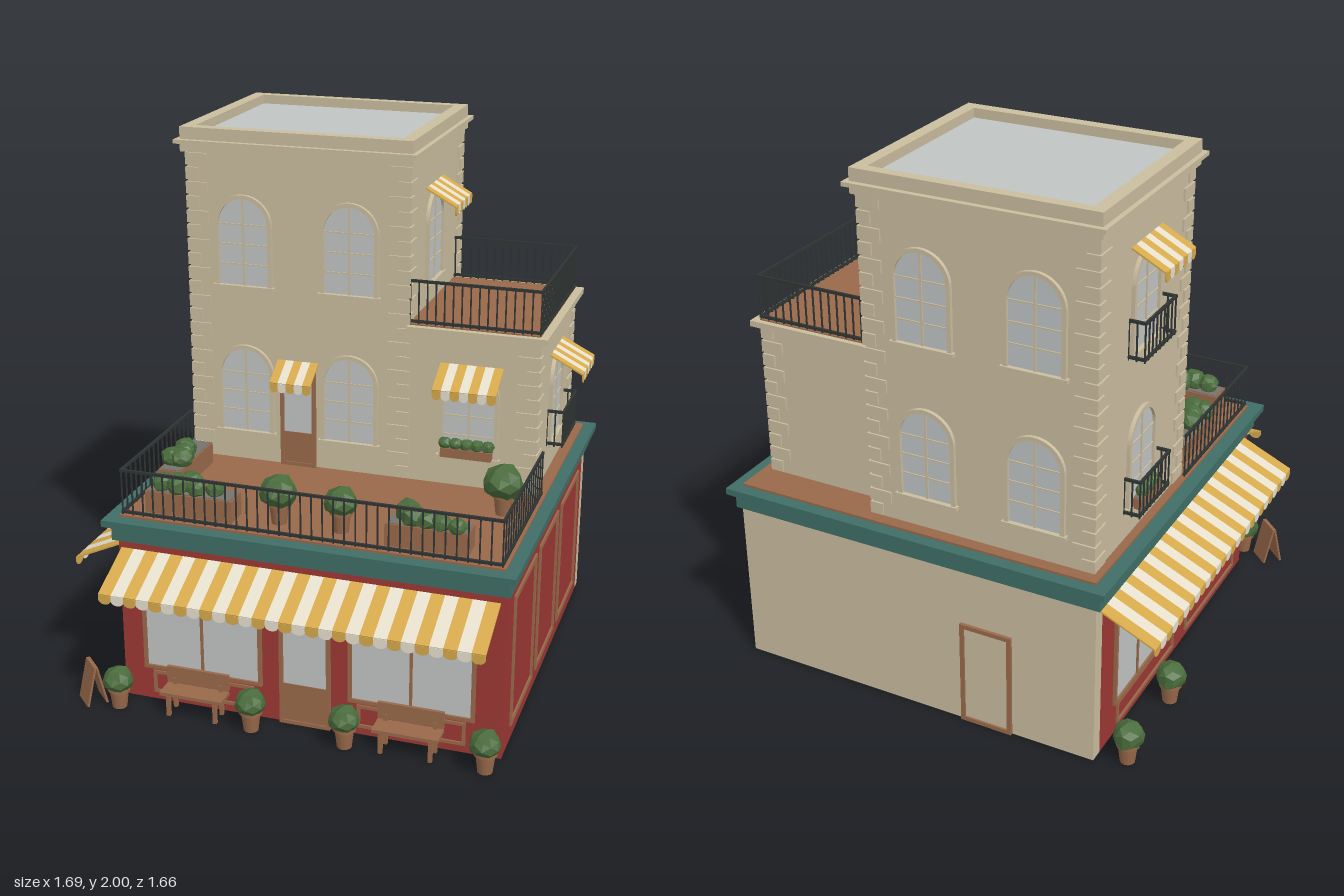
import * as THREE from 'three';
import { mergeGeometries } from 'three/addons/utils/BufferGeometryUtils.js';

const mat = (name, color) => Object.assign(new THREE.MeshStandardMaterial({ color }), { name });

export function createModel() {
  const M = {
    stone: mat('stone', 0xcabd9f), red: mat('red paint', 0x9c3733), teal: mat('teal cornice', 0x3f6e66),
    wood: mat('wood', 0x98694a), glass: mat('glass', 0xc0c4c3), iron: mat('iron', 0x2f3433),
    gold: mat('awning gold', 0xd6a94c), cream: mat('awning cream', 0xe6dfcd),
    leaf: mat('leaf', 0x4a6c3c), soil: mat('soil', 0x77726c),
  };
  M.gold.side = M.cream.side = THREE.DoubleSide;
  const root = new THREE.Group();
  root.name = 'cornerShop';

  // ---- helpers ----
  const add = (p, name, geo, m, x = 0, y = 0, z = 0) => {
    const o = new THREE.Mesh(geo, m);
    o.name = name;
    o.position.set(x, y, z);
    p.add(o);
    return o;
  };
  // box given by its min and max corners
  const span = (x0, x1, y0, y1, z0, z1) => new THREE.BoxGeometry(x1 - x0, y1 - y0, z1 - z0)
    .translate((x0 + x1) / 2, (y0 + y1) / 2, (z0 + z1) / 2);
  const block = (p, name, m, ...s) => add(p, name, span(...s), m);
  const group = (name, x = 0, y = 0, z = 0, turn = 0, p = root) => {
    const g = new THREE.Group();
    g.name = name;
    g.position.set(x, y, z);
    g.rotation.y = turn;
    p.add(g);
    return g;
  };
  const FRONT = 0, RIGHT = Math.PI / 2, LEFT = -Math.PI / 2, BACK = Math.PI;
  const rect = (S, x0, x1, y0, y1) => {
    const s = new S();
    s.moveTo(x0, y0).lineTo(x1, y0).lineTo(x1, y1).lineTo(x0, y1).closePath();
    return s;
  };
  const extrude = (shape, depth) => new THREE.ExtrudeGeometry(shape, { depth, bevelEnabled: false, curveSegments: 12 });
  const ring = (x0, x1, y0, y1, t, depth) => {
    const s = rect(THREE.Shape, x0, x1, y0, y1);
    s.holes.push(rect(THREE.Path, x0 + t, x1 - t, y0 + t, y1 - t));
    return extrude(s, depth);
  };
  const arch = (S, r, y0, spring) => {
    const s = new S();
    s.moveTo(-r, y0).lineTo(r, y0).lineTo(r, spring).absarc(0, spring, r, 0, Math.PI, false).closePath();
    return s;
  };

  // ---- ground floor: hollow walls, timber lining, cornice, deck ----
  const shop = group('groundFloor');
  block(shop, 'frontWall', M.red, -0.65, 0.77, 0, 0.63, 0.58, 0.63);
  block(shop, 'leftPaintedWall', M.red, 0.72, 0.77, 0, 0.63, -0.74, 0.58);
  block(shop, 'rightPaintedWall', M.red, -0.65, -0.6, 0, 0.63, -0.74, 0.58);
  block(shop, 'backWall', M.stone, -0.65, 0.77, 0, 0.63, -0.79, -0.74);
  const lining = [[-0.6, 0.72, 0.574, 0.58], [-0.6, 0.72, -0.74, -0.734], [-0.6, -0.594, -0.734, 0.574], [0.714, 0.72, -0.734, 0.574]];
  for (const [x0, x1, z0, z1] of lining) block(shop, 'innerLining', M.wood, x0, x1, 0.002, 0.63, z0, z1);
  block(shop, 'lowerCornice', M.teal, -0.67, 0.785, 0.63, 0.69, -0.805, 0.645);
  block(shop, 'upperCornice', M.teal, -0.695, 0.807, 0.69, 0.715, -0.83, 0.675);
  block(shop, 'terraceDeck', M.wood, -0.645, 0.762, 0.715, 0.724, -0.785, 0.625);

  // panels on the painted side wall
  for (const [a, b] of [[-0.66, -0.305], [-0.245, 0.095], [0.155, 0.51]]) {
    const g = group('sidePanel', 0.77, 0, 0, RIGHT);
    add(g, 'panelMoulding', ring(-b, -a, 0.06, 0.57, 0.02, 0.007), M.wood);
  }
  // shop windows with a moulded panel below
  const shopWindow = (x, z, turn, w, bars) => {
    const g = group('shopWindow', x, 0, z, turn), h = w / 2;
    block(g, 'shopGlass', M.glass, -h, h, 0.14, 0.56, 0, 0.004);
    add(g, 'windowFrame', ring(-h - 0.012, h + 0.012, 0.13, 0.57, 0.014, 0.012), M.wood);
    for (let i = 1; i <= bars; i++) {
      const u = -h + (w * i) / (bars + 1);
      block(g, 'mullion', M.wood, u - 0.005, u + 0.005, 0.14, 0.56, 0, 0.01);
    }
    add(g, 'lowerPanel', ring(-h + 0.02, h - 0.02, 0.03, 0.12, 0.012, 0.007), M.wood);
  };
  shopWindow(-0.337, 0.63, FRONT, 0.435, 1);
  shopWindow(0.445, 0.63, FRONT, 0.435, 1);
  shopWindow(-0.65, -0.35, LEFT, 0.55, 2);
  shopWindow(-0.65, 0.28, LEFT, 0.55, 2);

  // part-glazed doors and the plain back door
  const door = (x, y, z, w, h, kick) => {
    const g = group('glazedDoor', x, y, z), r = w / 2;
    add(g, 'doorFrame', ring(-r, r, 0, h, 0.014, 0.014), M.wood);
    block(g, 'doorGlass', M.glass, -r + 0.012, r - 0.012, kick, h - 0.012, 0, 0.005);
    block(g, 'kickPanel', M.wood, -r + 0.012, r - 0.012, 0, kick, 0, 0.008);
  };
  door(0.055, 0, 0.63, 0.19, 0.57, 0.16);
  door(-0.192, 0.724, -0.01, 0.14, 0.38, 0.135);
  const rear = group('backDoor', -0.235, 0, -0.79, BACK);
  add(rear, 'backDoorFrame', ring(-0.1, 0.1, 0.0, 0.41, 0.016, 0.012), M.wood);
  block(rear, 'backDoorLeaf', M.stone, -0.085, 0.085, 0.015, 0.395, 0, 0.005);

  // ---- tower and wing ----
  block(root, 'tower', M.stone, -0.615, 0.235, 0.72, 1.94, -0.74, -0.01);
  block(root, 'wing', M.stone, 0.235, 0.72, 0.72, 1.31, -0.65, -0.01);
  block(root, 'towerLowerCornice', M.stone, -0.635, 0.25, 1.91, 1.94, -0.765, 0.01);
  block(root, 'towerCornice', M.stone, -0.655, 0.265, 1.94, 1.955, -0.79, 0.025);
  const parapet = rect(THREE.Shape, -0.637, 0.247, -0.005, 0.77);
  parapet.holes.push(rect(THREE.Path, -0.59, 0.2, 0.04, 0.73));
  add(root, 'parapet', extrude(parapet, 0.045).rotateX(-Math.PI / 2), M.stone, 0, 1.955, 0);
  block(root, 'flatRoof', M.glass, -0.6, 0.21, 1.955, 1.965, -0.74, -0.03);
  block(root, 'wingCornice', M.stone, 0.235, 0.752, 1.308, 1.33, -0.68, 0.02);
  block(root, 'wingDeck', M.wood, 0.235, 0.722, 1.33, 1.334, -0.66, -0.005);

  // corner stones, long side alternating; sx and sz point out of the corner
  const quoins = (x, z, sx, sz, y0, y1) => {
    const parts = [], n = Math.round((y1 - y0) / 0.055), p = (y1 - y0) / n;
    for (let i = 0; i < n; i++) {
      const a = i % 2 ? 0.085 : 0.05, b = i % 2 ? 0.05 : 0.085, e = 0.007;
      parts.push(new THREE.BoxGeometry(a, p - 0.009, b)
        .translate(x + sx * (e - a / 2), y0 + p * (i + 0.5), z + sz * (e - b / 2)));
    }
    add(root, 'cornerStones', mergeGeometries(parts), M.stone);
  };
  for (const [x, sx] of [[-0.615, -1], [0.235, 1]])
    for (const [z, sz] of [[-0.74, -1], [-0.01, 1]]) quoins(x, z, sx, sz, 0.724, 1.91);
  quoins(0.72, -0.01, 1, 1, 0.724, 1.308);
  quoins(0.72, -0.65, 1, -1, 0.724, 1.308);

  // arched windows
  const archWindow = (x, y, z, turn) => {
    const g = group('archedWindow', x, y, z, turn);
    const trim = arch(THREE.Shape, 0.112, -0.01, 0.23);
    trim.holes.push(arch(THREE.Path, 0.096, 0, 0.23));
    add(g, 'archTrim', extrude(trim, 0.014), M.stone);
    add(g, 'archGlass', new THREE.ShapeGeometry(arch(THREE.Shape, 0.1, 0, 0.23)), M.glass, 0, 0, 0.003);
    block(g, 'sill', M.stone, -0.12, 0.12, -0.014, 0, 0, 0.02);
    block(g, 'centreBar', M.stone, -0.004, 0.004, 0, 0.326, 0, 0.008);
    for (const v of [0.08, 0.155, 0.23]) block(g, 'crossBar', M.stone, -0.096, 0.096, v - 0.003, v + 0.003, 0, 0.007);
  };
  for (const y of [0.845, 1.42]) {
    for (const x of [-0.4, 0.01]) {
      archWindow(x, y, -0.01, FRONT);
      archWindow(x, y, -0.74, BACK);
    }
    archWindow(-0.615, y, -0.385, LEFT);
  }
  archWindow(0.235, 1.42, -0.333, RIGHT);
  archWindow(0.72, 0.845, -0.333, RIGHT);
  archWindow(0.47, 0.845, -0.01, FRONT);

  // ---- striped awnings with a scalloped valance; origin at the wall ----
  const awning = (x, y, z, turn, w, out, drop, val, n) => {
    const g = group('awning', x, y, z, turn), s = w / n, parts = [[], []];
    const len = Math.hypot(out, drop), pitch = Math.atan2(drop, out);
    for (let i = 0; i < n; i++) {
      const u = -w / 2 + s * (i + 0.5), flap = new THREE.Shape();
      flap.moveTo(-s / 2, 0).lineTo(-s / 2, -val * 0.5)
        .quadraticCurveTo(0, -val * 1.5, s / 2, -val * 0.5).lineTo(s / 2, 0).closePath();
      parts[i % 2].push(
        new THREE.BoxGeometry(s, 0.006, len).translate(0, 0, len / 2).rotateX(pitch).translate(u, 0, 0),
        new THREE.ExtrudeGeometry(flap, { depth: 0.004, bevelEnabled: false, curveSegments: 4 })
          .toNonIndexed?.() && new THREE.BoxGeometry(s, val * 0.5, 0.004).translate(u, -drop - val * 0.25, out),
        new THREE.CylinderGeometry(s / 2, s / 2, 0.004, 10, 1, false, -Math.PI / 2, Math.PI)
          .rotateX(Math.PI / 2).scale(1, val / s, 1).translate(u, -drop - val * 0.5, out));
    }
    add(g, 'goldStripes', mergeGeometries(parts[0]), M.gold);
    add(g, 'creamStripes', mergeGeometries(parts[1]), M.cream);
  };
  awning(0.055, 0.597, 0.63, FRONT, 1.39, 0.2, 0.09, 0.035, 29);
  awning(-0.65, 0.597, -0.085, LEFT, 1.345, 0.198, 0.09, 0.035, 27);
  awning(-0.192, 1.14, -0.01, FRONT, 0.16, 0.095, 0.06, 0.035, 5);
  awning(0.475, 1.195, -0.01, FRONT, 0.235, 0.118, 0.065, 0.035, 7);
  awning(0.72, 1.195, -0.335, RIGHT, 0.24, 0.122, 0.062, 0.035, 7);
  awning(0.235, 1.785, -0.335, RIGHT, 0.24, 0.113, 0.062, 0.035, 7);
  awning(-0.615, 1.79, -0.385, LEFT, 0.245, 0.118, 0.062, 0.035, 7);

  // ---- iron railings along a path of [x, z] points ----
  const railing = (name, path, y, h, step) => {
    const parts = [];
    for (let i = 1; i < path.length; i++) {
      const [ax, az] = path[i - 1], [bx, bz] = path[i];
      const dx = bx - ax, dz = bz - az, len = Math.hypot(dx, dz), n = Math.round(len / step);
      for (const v of [0.012, h - 0.005])
        parts.push(new THREE.BoxGeometry(len + 0.008, 0.01, 0.009).rotateY(Math.atan2(-dz, dx))
          .translate((ax + bx) / 2, y + v, (az + bz) / 2));
      for (let k = 0; k <= n; k++)
        parts.push(new THREE.BoxGeometry(0.005, h, 0.005).translate(ax + (dx * k) / n, y + h / 2, az + (dz * k) / n));
    }
    add(root, name, mergeGeometries(parts), M.iron);
  };
  railing('terraceRailing', [[-0.635, -0.01], [-0.635, 0.615], [0.748, 0.615], [0.748, -0.01]], 0.722, 0.175, 0.04);
  railing('wingRailing', [[0.24, -0.01], [0.72, -0.01], [0.72, -0.655], [0.24, -0.655]], 1.332, 0.168, 0.032);
  railing('balconyRailing', [[0.72, -0.21], [0.78, -0.21], [0.78, -0.455], [0.72, -0.455]], 0.84, 0.145, 0.03);
  for (const y of [0.825, 1.405])
    railing('balconyRailing', [[-0.615, -0.262], [-0.673, -0.262], [-0.673, -0.508], [-0.615, -0.508]], y, 0.145, 0.03);

  // ---- plants: faceted bushes, pots and troughs ----
  const bush = (p, x, y, z, r, squash = 0.9) => {
    const geo = new THREE.IcosahedronGeometry(r, 1), a = geo.attributes.position, v = new THREE.Vector3();
    for (let i = 0; i < a.count; i++) {
      v.fromBufferAttribute(a, i);
      const k = 1 + 0.1 * Math.sin(Math.round(v.x / r * 50) * 1.7 + Math.round(v.y / r * 50) * 2.3 + Math.round(v.z / r * 50) * 0.9 + x * 9);
      a.setXYZ(i, v.x * k, v.y * k * squash, v.z * k);
    }
    geo.computeVertexNormals();
    add(p, 'bush', geo, M.leaf, x, y, z).rotation.y = x * 7 + z * 5;
  };
  const pot = (x, y, z, r) => {
    const g = group('pottedBush', x, y, z);
    add(g, 'pot', new THREE.CylinderGeometry(0.036, 0.027, 0.075, 12), M.wood, 0, 0.0375, 0);
    add(g, 'potRim', new THREE.CylinderGeometry(0.042, 0.042, 0.014, 12), M.wood, 0, 0.075, 0);
    bush(g, 0, 0.06 + r * 0.85, 0, r);
  };
  for (const [x, z] of [[-0.635, 0.72], [-0.12, 0.72], [0.23, 0.72], [0.735, 0.72], [-0.755, -0.735], [-0.755, -0.36]]) pot(x, 0, z, 0.056);
  pot(-0.08, 0.724, 0.51, 0.068);
  pot(0.15, 0.724, 0.51, 0.06);
  pot(0.65, 0.724, 0.19, 0.072);

  const trough = (x0, x1, y0, y1, z0, z1, bushes) => {
    const g = group('planter');
    block(g, 'trough', M.wood, x0, x1, y0, y1, z0, z1);
    block(g, 'soil', M.soil, x0 + 0.006, x1 - 0.006, y1 - 0.005, y1 + 0.003, z0 + 0.006, z1 - 0.006);
    for (const [x, z, r] of bushes) bush(g, x, y1 + r * 0.6, z, r);
  };
  trough(-0.565, -0.235, 0.724, 0.806, 0.48, 0.575,
    [[-0.51, 0.535, 0.04], [-0.45, 0.54, 0.045], [-0.41, 0.51, 0.045], [-0.38, 0.545, 0.035], [-0.315, 0.53, 0.034]]);
  trough(0.325, 0.62, 0.724, 0.806, 0.48, 0.575,
    [[0.39, 0.505, 0.046], [0.42, 0.54, 0.044], [0.47, 0.55, 0.038], [0.52, 0.555, 0.036], [0.58, 0.565, 0.034]]);
  trough(-0.602, -0.515, 0.724, 0.806, 0.07, 0.38,
    [[-0.565, 0.21, 0.042], [-0.55, 0.26, 0.042], [-0.575, 0.31, 0.042], [-0.54, 0.31, 0.045]]);
  const sillBushes = [0, 1, 2, 3, 4].map((i) => [0.39 + i * 0.04, 0.022, 0.025]);
  trough(0.375, 0.565, 0.85, 0.885, 0.005, 0.042, sillBushes);
  trough(-0.665, -0.63, 0.835, 0.875, -0.47, -0.3, [[-0.647, -0.43, 0.024], [-0.647, -0.385, 0.026], [-0.647, -0.34, 0.024]]);

  // ---- street furniture ----
  for (const x of [-0.348, 0.452]) {
    const g = group('bench', x, 0, 0.65);
    block(g, 'benchBack', M.wood, -0.12, 0.12, 0.1, 0.163, 0, 0.012);
    block(g, 'benchSeat', M.wood, -0.12, 0.12, 0.082, 0.095, 0.005, 0.085);
    for (const s of [-0.09, 0.09]) {
      block(g, 'benchRearLeg', M.wood, s - 0.007, s + 0.007, 0, 0.12, 0.002, 0.016);
      block(g, 'benchFrontLeg', M.wood, s - 0.007, s + 0.007, 0, 0.085, 0.065, 0.08);
    }
  }
  const sign = group('pavementSign', -0.745, 0, 0.71, -Math.PI / 4);
  for (const s of [-1, 1]) {
    const board = new THREE.BoxGeometry(0.095, 0.155, 0.008).translate(0, -0.0775, 0).rotateX(-s * 0.22);
    add(sign, 'signBoard', board, M.wood, 0, 0.153, s * 0.003);
  }
  return root;
}
